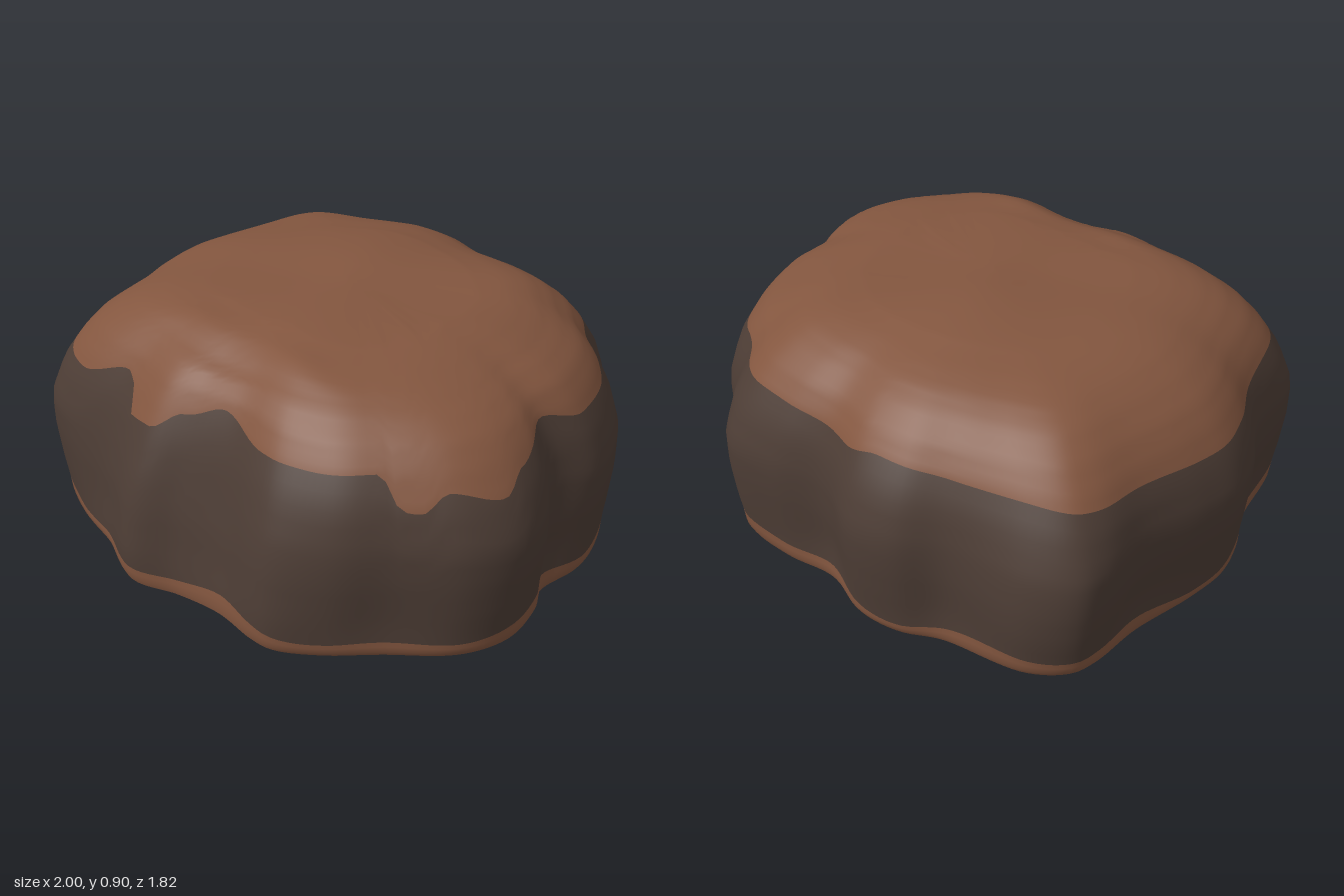
import * as THREE from 'three';

const SEG = 216;
const TOP = 0.875;

// Plan outline as x, z pairs, running from the left flank round the front
const OUTLINE = [
  1, .28, .93, .45, .73, .62, .6, .75, .44, .85, .35, .85, .17, .81, 0, .84, -.17, .91,
  -.4, .81, -.6, .78, -.8, .7, -.87, .6, -.9, .3, -.97, .15, -1, 0, -.97, -.15, -.89, -.4,
  -.88, -.6, -.85, -.7, -.72, -.79, -.4, -.82, -.27, -.89, -.17, -.91, -.08, -.9, .1, -.81,
  .3, -.84, .5, -.83, .58, -.77, .66, -.64, .78, -.55, .88, -.4, .94, -.2, .9, 0, .97, .12,
];

// Height of the ragged edge of the cap by angle in degrees
const CAP_EDGE = [
  [-180, .575], [-150, .6], [-130, .63], [-100, .66], [-90, .63], [-63, .65], [-41, .64], [-27, .6],
  [-13, .61], [0, .66], [12, .61], [18, .56], [28.5, .6], [34, .545], [37, .55], [41, .65], [55, .64],
  [68, .64], [82, .69], [94, .64], [101, .575], [111, .56], [113, .64], [118, .67], [130, .6],
  [148, .61], [172, .58], [180, .575],
];

// Share of the outline radius at each height, for the sides and for the leaning front
const HEIGHTS = [0, .02, .1, .3, .42, .55, .65, .72, .78, .82, .845, .865, TOP];
const SIDE = [.965, .977, .98, 1, 1, .96, .9, .84, .76, .68, .59, .45, 0];
const FRONT = [.992, 1, 1, .97, .935, .885, .83, .78, .715, .63, .54, .4, 0];
const sideTable = HEIGHTS.map((h, i) => [h, SIDE[i]]);
const frontTable = HEIGHTS.map((h, i) => [h, FRONT[i]]);

// How strongly the outline's waves show at each height
const WAVES = [[0, .75], [.15, 1], [.4, 1], [.65, .6], [TOP, .35]];

const linear = (t) => t;
const eased = (t) => t * t * (3 - 2 * t);

function lookup(table, x, ease = linear) {
  for (let i = 1; i < table.length; i++) {
    if (x <= table[i][0]) {
      const [x0, y0] = table[i - 1], [x1, y1] = table[i];
      return y0 + (y1 - y0) * ease((x - x0) / (x1 - x0));
    }
  }
  return table[table.length - 1][1];
}

const bump = (x, z, cx, cz, sx, sz) => Math.exp(-(((x - cx) / sx) ** 2) - ((z - cz) / sz) ** 2);

// Gentle lumps on the top, which falls a little towards +x
function lumps(x, z) {
  return 0.022 * bump(x, z, -.12, -.22, .25, .25)
    + 0.012 * bump(x, z, -.2, .5, .16, .06)
    + 0.012 * bump(x, z, .25, .5, .16, .06)
    - 0.02 * bump(x, z, .05, .58, .2, .07)
    - 0.012 * bump(x, z, .3, -.1, .12, .35)
    - 0.022 * bump(x, z, .65, 0, .17, .6)
    + 0.005 * Math.sin(x * 9 + z * 4) * Math.sin(z * 8 - x * 3);
}

export function createModel() {
  const capStone = new THREE.MeshStandardMaterial({ color: 0x83563f });
  capStone.name = 'brown stone';
  const wallStone = new THREE.MeshStandardMaterial({ color: 0x4d3d35 });
  wallStone.name = 'dark stone';

  const pts = [];
  for (let i = 0; i < OUTLINE.length; i += 2) pts.push(new THREE.Vector3(OUTLINE[i], 0, OUTLINE[i + 1]));
  const wavy = new THREE.CatmullRomCurve3(pts, true).getSpacedPoints(SEG).slice(0, SEG);

  // Calmer outline for the foot and the cap: a running average of the wavy one
  const REACH = 12;
  const calm = wavy.map((_, i) => {
    const sum = new THREE.Vector3();
    for (let k = -REACH; k <= REACH; k++) sum.add(wavy[(i + k + SEG) % SEG]);
    return sum.multiplyScalar(1.02 / (2 * REACH + 1));
  });

  // One point of the surface at a given column and height
  function surface(i, y) {
    const p = calm[i].clone().lerp(wavy[i], lookup(WAVES, y));
    const angle = Math.atan2(p.z, p.x);
    const w = THREE.MathUtils.smoothstep(Math.sin(angle), 0.7, 1);
    const f = THREE.MathUtils.lerp(lookup(sideTable, y), lookup(frontTable, y), w);
    const round = 0.9 / Math.hypot(p.x, p.z);
    const dent = 1 - 0.05 * bump(p.x, p.z, -.65, -.77, .22, .2) * THREE.MathUtils.smoothstep(y, 0.15, 0.6);
    const k = f * dent * THREE.MathUtils.lerp(round, 1, THREE.MathUtils.smoothstep(f, 0, 0.8));
    const x = p.x * k, z = p.z * k;
    return [x, y + lumps(x, z) * THREE.MathUtils.smoothstep(y, 0.66, 0.82), z];
  }

  // Rows: foot band, wall, cap
  const FOOT = 3, WALL = 12, CAP = 24;
  const rows = FOOT + WALL + CAP;
  const position = [];
  for (let j = 0; j < rows; j++) {
    for (let i = 0; i < SEG; i++) {
      const a = Math.atan2(wavy[i].z, wavy[i].x);
      const foot = 0.064 + 0.013 * Math.sin(a * 5 + 1) + 0.008 * Math.sin(a * 11);
      const edge = lookup(CAP_EDGE, THREE.MathUtils.radToDeg(a), eased);
      let y;
      if (j <= FOOT) y = foot * j / FOOT;
      else if (j <= FOOT + WALL) y = foot + (edge - foot) * (j - FOOT) / WALL;
      else {
        const s = (j - FOOT - WALL) / CAP;
        y = edge + (TOP - edge) * (1 - (1 - s) ** 2.2);
      }
      position.push(...surface(i, y));
    }
  }
  position.push(0, TOP + lumps(0, 0), 0);

  const index = [];
  for (let j = 0; j < rows; j++) {
    for (let i = 0; i < SEG; i++) {
      const n = (i + 1) % SEG;
      const a = j * SEG + i, b = j * SEG + n;
      if (j === rows - 1) index.push(a, rows * SEG, b);
      else index.push(a, a + SEG, b, b, a + SEG, b + SEG);
    }
  }
  const geometry = new THREE.BufferGeometry();
  geometry.setAttribute('position', new THREE.Float32BufferAttribute(position, 3));
  geometry.setIndex(index);
  geometry.computeVertexNormals();
  const footCount = FOOT * SEG * 6, wallCount = WALL * SEG * 6;
  geometry.addGroup(0, footCount, 0);
  geometry.addGroup(footCount, wallCount, 1);
  geometry.addGroup(footCount + wallCount, index.length - footCount - wallCount, 0);
  const rock = new THREE.Mesh(geometry, [capStone, wallStone]);
  rock.name = 'rockBody';

  // Flat underside
  const shape = new THREE.Shape(wavy.map((_, i) => {
    const [x, , z] = surface(i, 0);
    return new THREE.Vector2(x, z);
  }));
  const underside = new THREE.Mesh(new THREE.ShapeGeometry(shape).rotateX(Math.PI / 2), capStone);
  underside.name = 'underside';

  const group = new THREE.Group();
  group.name = 'rock';
  group.add(rock, underside);
  return group;
}
